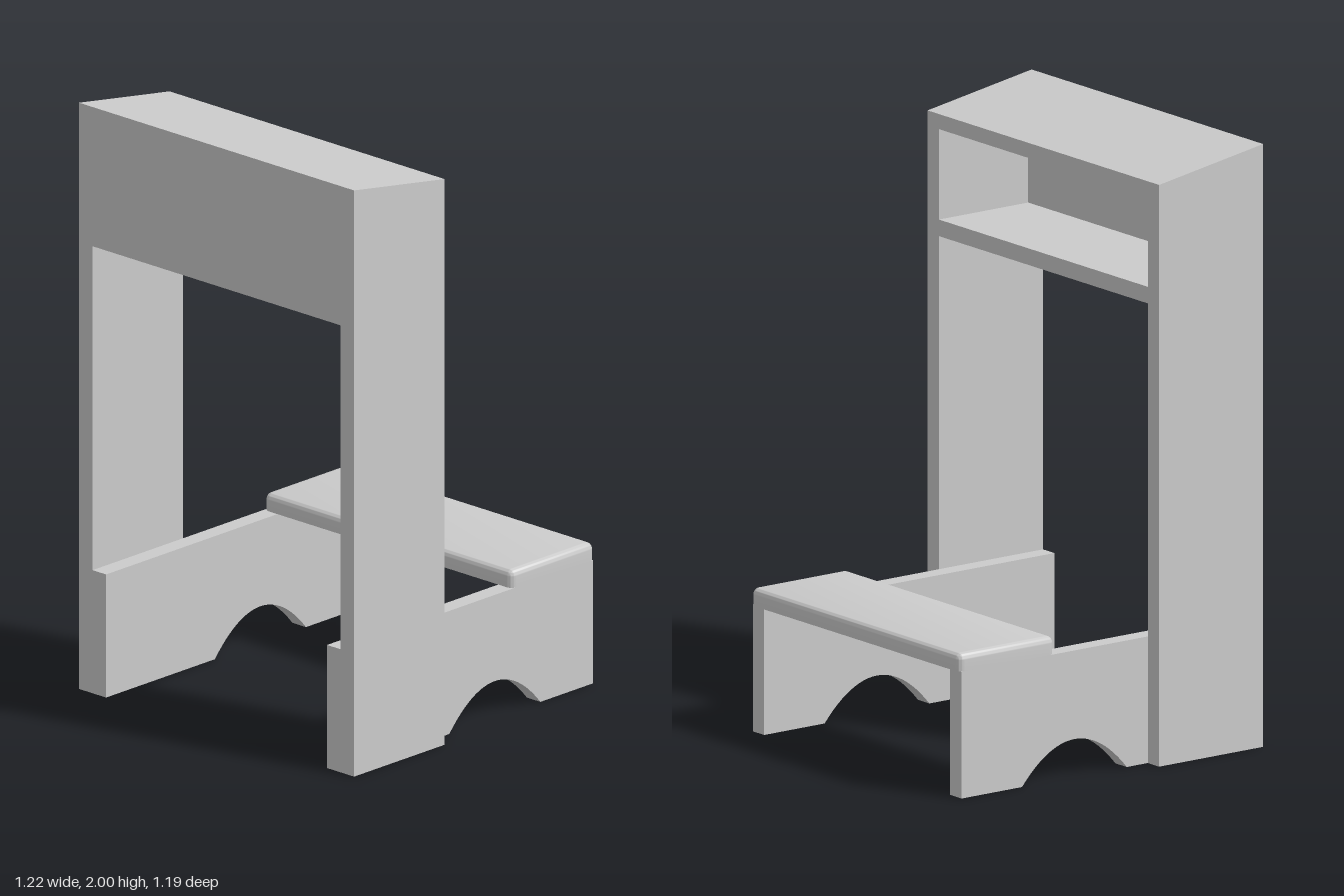
import * as THREE from 'three';
import { RoundedBoxGeometry } from 'three/addons/geometries/RoundedBoxGeometry.js';
import { toCreasedNormals } from 'three/addons/utils/BufferGeometryUtils.js';

const material = new THREE.MeshStandardMaterial({ color: 0xcccccc });
const FRONT = 0.592, BACK = 0.17; // depth range of the upright desk
const T = 0.06;                   // board thickness
const INNER = 0.55;               // inside face of the uprights
const topY = z => 1.93 + 0.07 * (z - BACK) / (FRONT - BACK);

// Extrudes a (z, y) side profile along x, from x0 to x1
function sideBoard(name, shape, x0, x1) {
  const geo = new THREE.ExtrudeGeometry(shape, { depth: x1 - x0, bevelEnabled: false, curveSegments: 24 });
  geo.rotateY(-Math.PI / 2);
  geo.scale(1, 1, 1);
  geo.translate(x1, 0, 0);
  const mesh = new THREE.Mesh(toCreasedNormals(geo, 0.5), material);
  mesh.name = name;
  return mesh;
}

const polygon = points => new THREE.Shape(points.map(([z, y]) => new THREE.Vector2(z, y)));

export function createModel() {
  const group = new THREE.Group();
  group.name = 'kneelingDesk';

  // Tall side panel with a sloping top
  const upright = polygon([[BACK, 0], [FRONT, 0], [FRONT, topY(FRONT)], [BACK, topY(BACK)]]);

  // Low runner with an arch cut into its foot
  const runner = new THREE.Shape();
  runner.moveTo(-0.585, 0);
  runner.lineTo(-0.34, 0);
  runner.bezierCurveTo(-0.2, 0.168, -0.055, 0.168, 0.085, 0);
  runner.lineTo(FRONT, 0);
  runner.lineTo(FRONT, 0.42);
  runner.lineTo(-0.585, 0.42);
  runner.closePath();

  for (const [side, s] of [['left', 1], ['right', -1]]) {
    const span = (a, b) => s > 0 ? [a, b] : [-b, -a];
    group.add(sideBoard(side + 'Upright', upright, ...span(INNER, INNER + T)));
    group.add(sideBoard(side + 'Runner', runner, ...span(INNER - T, INNER)));
  }

  // Boards of the book compartment, open at the back
  const shelfY = 1.525, inside = FRONT - T;
  const boards = {
    frontPanel: [[inside, shelfY], [FRONT, shelfY], [FRONT, topY(FRONT)], [inside, topY(inside)]],
    shelf: [[BACK, shelfY], [inside, shelfY], [inside, shelfY + 0.055], [BACK, shelfY + 0.055]],
    slopingTop: [[BACK, topY(BACK) - 0.05], [inside, topY(inside) - 0.05], [inside, topY(inside)], [BACK, topY(BACK)]],
  };
  for (const [name, points] of Object.entries(boards)) {
    group.add(sideBoard(name, polygon(points), -INNER, INNER));
  }

  // Kneeler: rounded above, cut flat underneath
  const pad = new RoundedBoxGeometry(1.1, 0.12, 0.387, 5, 0.022);
  const pos = pad.attributes.position;
  for (let i = 0; i < pos.count; i++) pos.setY(i, Math.max(0, pos.getY(i)));
  const kneeler = new THREE.Mesh(toCreasedNormals(pad, 0.6), material);
  kneeler.name = 'kneeler';
  kneeler.position.set(0, 0.42, -0.4);
  group.add(kneeler);

  return group;
}
